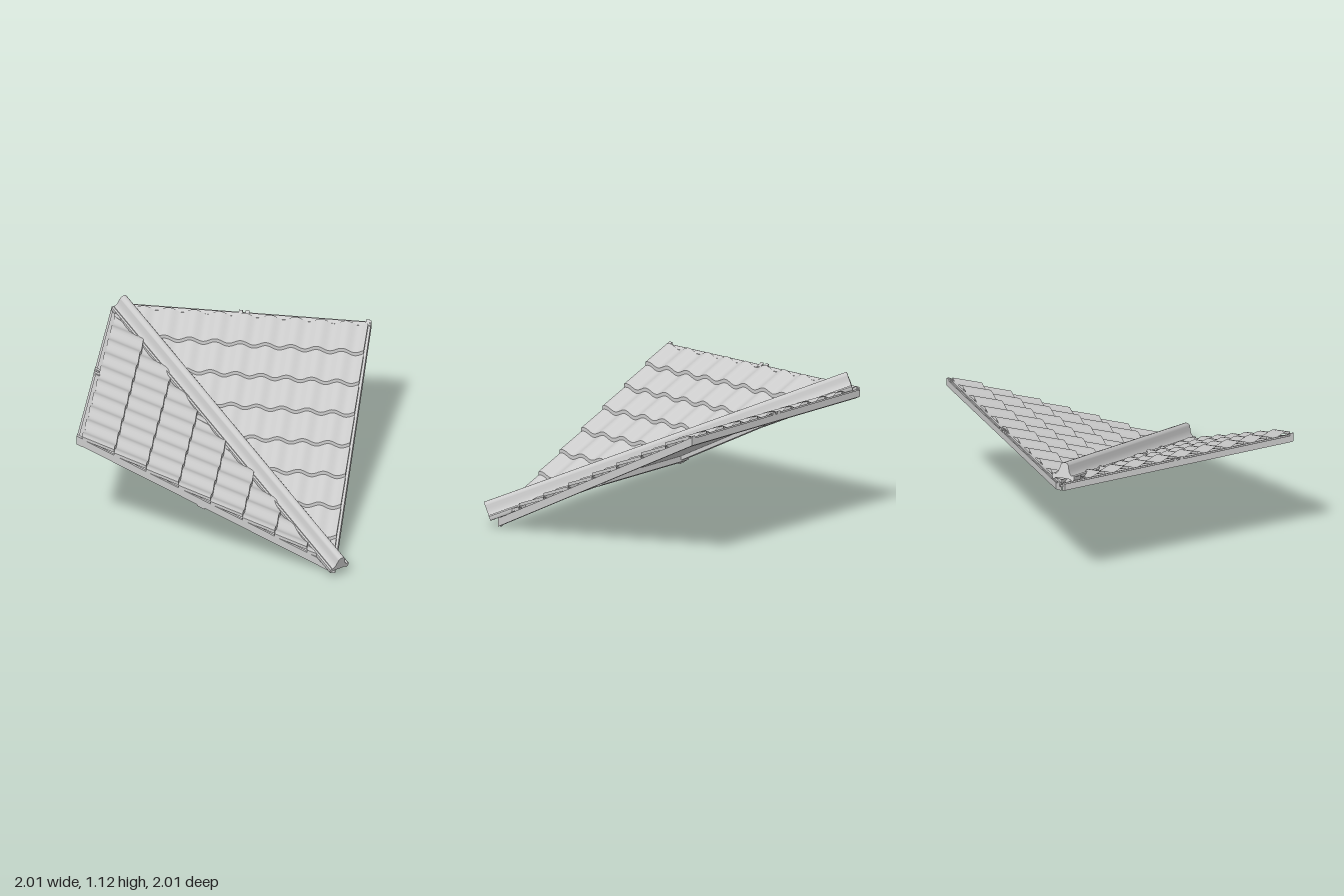
import * as THREE from 'three';
import { mergeGeometries, toCreasedNormals } from 'three/addons/utils/BufferGeometryUtils.js';

const mat = new THREE.MeshStandardMaterial({ color: 0xcccccc, side: THREE.DoubleSide });
const EDGE = 0.89, TOP = -0.96, COL = 0.187, ROW = 0.237;
const plane = z => 0.5 - z / 2; // roof pitch, falling towards +z

function mesh(geo, name) {
  const m = new THREE.Mesh(geo, mat);
  m.name = name;
  return m;
}

// Lifts a flat geometry onto the roof pitch
function shear(geo) {
  const p = geo.attributes.position;
  for (let i = 0; i < p.count; i++) p.setY(i, p.getY(i) + plane(p.getZ(i)));
  geo.computeVertexNormals();
  return geo;
}

// Timber lying on the slope: x range, z range, offset range from the plane
function beam(name, x0, x1, z0, z1, o0 = -0.053, o1 = 0) {
  const g = new THREE.BoxGeometry(x1 - x0, o1 - o0, z1 - z0);
  g.translate((x0 + x1) / 2, (o0 + o1) / 2, (z0 + z1) / 2);
  return mesh(shear(g), name);
}

// One wavy pan tile with a lip, cut off along the valley x = z
function tile(x0, z0, flip) {
  const nu = 12, nv = 8, pos = [], idx = [];
  const z1 = Math.min(z0 + ROW, EDGE);
  const point = (i, z, lift) => {
    const x = Math.max(x0 + COL * i / nu, z);
    let t = Math.min(1, (x - x0) / COL);
    if (flip) t = 1 - t;
    const wave = 0.015 * (1 + Math.cos(2 * Math.PI * (t - 0.15)));
    pos.push(x, plane(z) + 0.008 + wave + lift, z);
  };
  const strip = (rows, put) => {
    const base = pos.length / 3;
    for (let j = 0; j <= rows; j++) for (let i = 0; i <= nu; i++) put(i, j);
    for (let j = 0; j < rows; j++) for (let i = 0; i < nu; i++) {
      const a = base + j * (nu + 1) + i, b = a + nu + 1;
      idx.push(a, b, a + 1, b, b + 1, a + 1);
    }
  };
  strip(nv, (i, j) => point(i, z0 + (z1 - z0) * j / nv, 0.027 * j / nv));
  strip(1, (i, j) => point(i, z1, 0.027 * (1 - j)));
  // Side skirts
  for (const side of [0, nu]) {
    const base = pos.length / 3;
    for (const j of [0, 1]) {
      point(side, j ? z1 : z0, 0.027 * j);
      point(side, j ? z1 : z0, 0.027 * j - 0.025);
    }
    idx.push(base, base + 1, base + 2, base + 1, base + 3, base + 2);
  }
  const g = new THREE.BufferGeometry();
  g.setAttribute('position', new THREE.Float32BufferAttribute(pos, 3));
  g.setIndex(idx);
  g.computeVertexNormals();
  return g;
}

function slope(name, flip, outer) {
  const group = new THREE.Group();
  group.name = name;

  // Tiles, in rows down the slope
  const tiles = [];
  for (let r = 0; r < 8; r++) for (let c = 0; c < 10; c++) {
    const x0 = EDGE - COL * (c + 1), z0 = TOP + ROW * r;
    if (x0 + COL > z0) tiles.push(tile(x0, z0, flip));
  }
  group.add(mesh(mergeGeometries(tiles), 'tiles'));

  // Triangular deck
  const tri = new THREE.Shape([[-0.97, 0.97], [EDGE, 0.97], [EDGE, -EDGE]].map(p => new THREE.Vector2(...p)));
  const deck = new THREE.ExtrudeGeometry(tri, { depth: 0.02, bevelEnabled: false });
  deck.rotateX(-Math.PI / 2).translate(0, -0.02, 0);
  group.add(mesh(shear(deck), 'deck'));

  // Frame and supports
  group.add(
    beam('edgeRafter', EDGE - 0.02, outer, -1, EDGE, -0.053, 0.01),
    beam('topRail', -0.95, outer, -0.985, -0.955, -0.053, 0.012),
    beam('topRailFace', -0.95, EDGE, -1, -0.985, -0.053, 0),
    beam('middleRafter', -0.07, 0.02, -1, -0.02),
    beam('purlin', -0.07, EDGE, -0.11, -0.055, -0.064, -0.01)
  );
  for (const x of [-0.055, -0.005, 0.885]) group.add(beam('railJoint', x - 0.014, x + 0.014, -0.998, -0.955, -0.05, 0.02));
  return group;
}

// Rolled capping with curled feet, laid down the valley
function capping() {
  const half = [[0.03, 0.138], [0.036, 0.115], [0.042, 0.095], [0.056, 0.075], [0.064, 0.07],
    [0.074, 0.076], [0.084, 0.068], [0.086, 0.052], [0.08, 0.035], [0.068, 0.03], [0.058, 0.042], [0.045, 0.045]];
  const arc = [];
  for (let i = 1; i < 8; i++) {
    const a = Math.PI * i / 8;
    arc.push([-0.03 * Math.cos(a), 0.138 + 0.024 * Math.sin(a)]);
  }
  const outline = [...half.map(([x, y]) => [-x, y]).reverse(), ...arc, ...half];
  const shape = new THREE.Shape(outline.map(p => new THREE.Vector2(...p)));
  const geo = new THREE.ExtrudeGeometry(shape, { depth: 2.817, bevelEnabled: false });
  const d = new THREE.Vector3(1, -0.5, 1).normalize();
  const n = new THREE.Vector3(1, 4, 1).normalize();
  const w = new THREE.Vector3().crossVectors(n, d);
  geo.applyMatrix4(new THREE.Matrix4().makeBasis(w, n, d).setPosition(-0.945, plane(-0.945), -0.945));
  return mesh(toCreasedNormals(geo, 0.7), 'valleyCapping');
}

export function createModel() {
  const model = new THREE.Group();
  model.name = 'roofCorner';
  const back = slope('backSlope', false, 0.908);
  // Second slope: the first reflected across the valley
  const side = slope('sideSlope', true, EDGE);
  side.scale.x = -1;
  side.rotation.y = Math.PI / 2;
  model.add(back, side, capping());
  return model;
}
